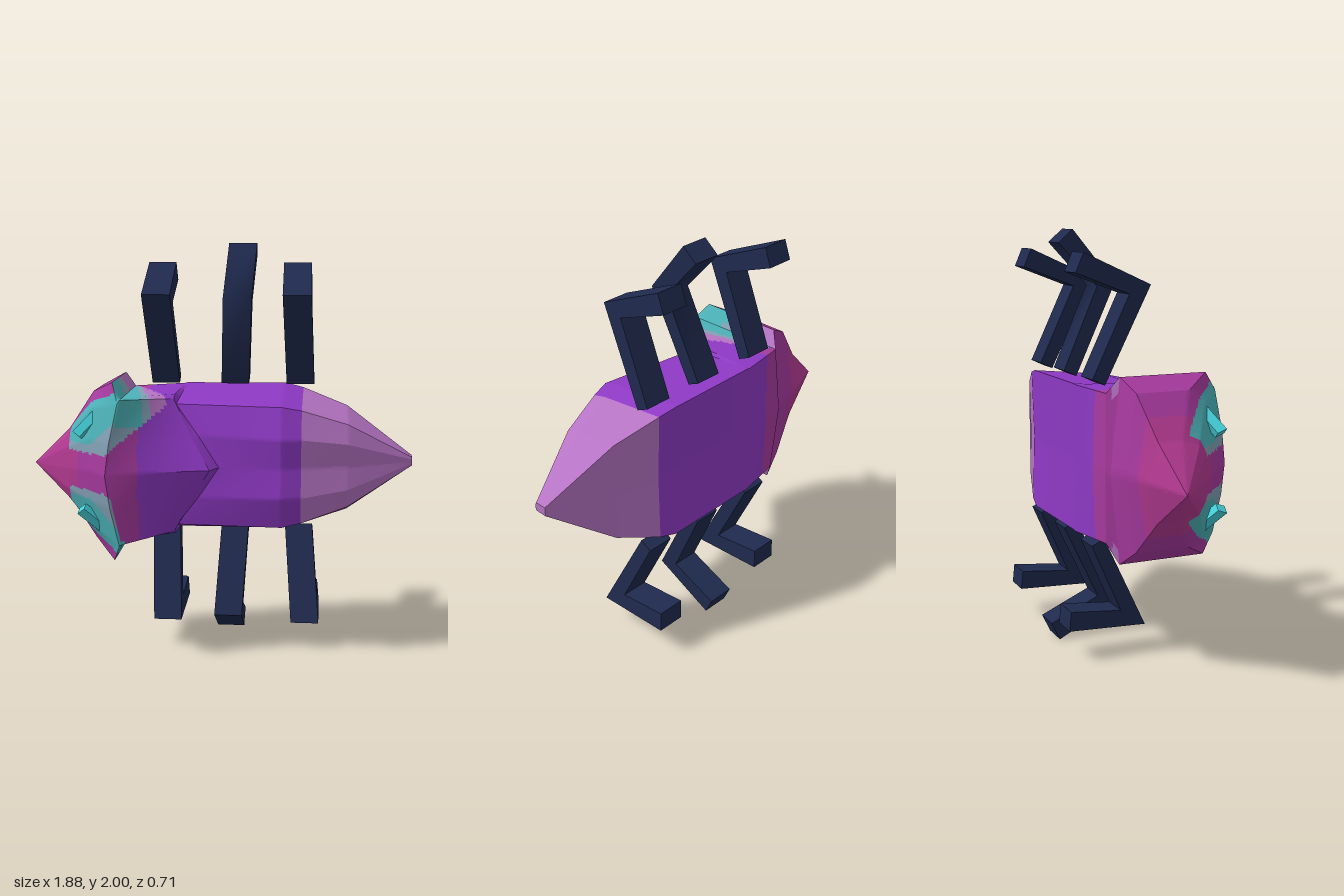
import * as THREE from 'three';
import { toCreasedNormals } from 'three/addons/utils/BufferGeometryUtils.js';

const PALETTE = {
  magenta: 0xb43a92, plum: 0xa83aa0, purple: 0x8e39c4, mauve: 0xb674c4,
  teal: 0x4cb2b8, dustyTeal: 0x82a0b4, cyan: 0x46d4de, navy: 0x1f2a4e,
};
const names = Object.keys(PALETTE);
const mats = names.map((name) => {
  const m = new THREE.MeshStandardMaterial({ color: PALETTE[name] });
  m.name = name;
  return m;
});
const matOf = (name) => mats[names.indexOf(name)];

// Closed ring from half a section [x, dy, z], back centre to belly centre, mirrored about y = c
function ring(c, half) {
  const pts = half.map(([x, dy, z]) => new THREE.Vector3(x, c + dy, z));
  for (let i = half.length - 2; i > 0; i--) {
    const [x, dy, z] = half[i];
    pts.push(new THREE.Vector3(x, c - dy, z));
  }
  return pts;
}
const flatRing = (c, x, half) => ring(c, half.map(([dy, z]) => [x, dy, z]));
const pointRing = (x, y, z) => flatRing(y, x, Array(6).fill([0, z]));

// Skin between rings, finely divided so that a rule can colour each small face
function skin(name, rings, colourAt) {
  const U = 30, V = 12, buckets = names.map(() => []);
  const n = rings[0].length;
  for (let i = 0; i < rings.length - 1; i++) for (let j = 0; j < n; j++) {
    const k = (j + 1) % n;
    const at = (u, v) => rings[i][j].clone().lerp(rings[i][k], v)
      .lerp(rings[i + 1][j].clone().lerp(rings[i + 1][k], v), u);
    for (let a = 0; a < U; a++) for (let b = 0; b < V; b++) {
      const p = at(a / U, b / V), q = at((a + 1) / U, b / V);
      const r = at((a + 1) / U, (b + 1) / V), s = at(a / U, (b + 1) / V);
      const m = p.clone().add(r).multiplyScalar(0.5);
      const bucket = buckets[names.indexOf(colourAt(m, i))];
      for (const t of [[p, q, r], [p, r, s]]) {
        const area = t[1].clone().sub(t[0]).cross(t[2].clone().sub(t[0])).length();
        if (area > 1e-9) t.forEach((w) => bucket.push(w.x, w.y, w.z));
      }
    }
  }
  const geo = new THREE.BufferGeometry();
  geo.setAttribute('position', new THREE.Float32BufferAttribute(buckets.flat(), 3));
  let start = 0;
  buckets.forEach((b, i) => {
    if (b.length) geo.addGroup(start, b.length / 3, i);
    start += b.length / 3;
  });
  const mesh = new THREE.Mesh(toCreasedNormals(geo, 0.45), mats);
  mesh.name = name;
  return mesh;
}

// Bent leg: mitred outline in the z-y plane, widening to the foot, extruded across x and leaned sideways
function leg(name, path, xHip, xFoot) {
  const [hip, knee, foot] = [0.034, 0.039, 0.048], w = 0.138;
  const [a, b, c] = path.map(([z, y]) => new THREE.Vector2(-z, y));
  const normal = (p, q) => {
    const d = q.clone().sub(p).normalize();
    return new THREE.Vector2(-d.y, d.x);
  };
  const n1 = normal(a, b), n2 = normal(b, c);
  const mitre = n1.clone().add(n2).divideScalar(1 + n1.dot(n2));
  const off = (p, n, h) => p.clone().addScaledVector(n, h);
  const shape = new THREE.Shape([
    off(a, n1, hip), off(b, mitre, knee), off(c, n2, foot),
    off(c, n2, -foot), off(b, mitre, -knee), off(a, n1, -hip),
  ]);
  const geo = new THREE.ExtrudeGeometry(shape, { depth: w, bevelEnabled: false });
  geo.translate(0, 0, -w / 2).rotateY(Math.PI / 2);
  const pos = geo.attributes.position;
  const yEnd = a.y > 1 ? Math.max(b.y, c.y) : Math.min(b.y, c.y);
  for (let i = 0; i < pos.count; i++) {
    const t = (pos.getY(i) - a.y) / (yEnd - a.y);
    pos.setX(i, pos.getX(i) + xHip + (xFoot - xHip) * t);
  }
  const mesh = new THREE.Mesh(toCreasedNormals(geo, 1.4), matOf('navy'));
  mesh.name = name;
  return mesh;
}

export function createModel() {
  const model = new THREE.Group();
  model.name = 'insect';

  // Wedge head, widening to a flared rim that steps in to the thorax
  const neck = ring(0.94, [[-0.5, 0, 0.352], [-0.48, 0.15, 0.345], [-0.44, 0.345, 0.328],
    [-0.44, 0.345, 0.25], [-0.45, 0.345, -0.22], [-0.48, 0, -0.235]]);
  const headRings = [
    pointRing(-0.94, 0.91, -0.06),
    flatRing(0.925, -0.74, [[0, 0.14], [0.1, 0.13], [0.15, 0.1], [0.18, 0.02], [0.18, -0.1], [0, -0.14]]),
    flatRing(0.94, -0.6, [[0, 0.27], [0.15, 0.25], [0.29, 0.2], [0.36, 0.12], [0.36, -0.14], [0, -0.19]]),
    ring(0.93, [[-0.51, 0, 0.355], [-0.49, 0.15, 0.35], [-0.45, 0.34, 0.33],
      [-0.485, 0.43, 0.26], [-0.49, 0.43, -0.17], [-0.5, 0, -0.22]]),
    neck,
  ];
  model.add(skin('head', headRings, ({ x, y, z }, i) => {
    const a = Math.abs(y - 0.93);
    if (i === 3 && a > 0.34) return z > 0.12 ? 'teal' : z > 0 ? 'dustyTeal' : z > -0.2 ? 'mauve' : 'plum';
    // Eye patches on the back of the head, teal with a pale margin
    const onBack = z > 0.355 + (x + 0.51) * 0.94 - 0.1;
    if (onBack && x > -0.72 && !(a > 0.36 && x < -0.52)) {
      if (a > 0.13 + Math.max(0, x + 0.6) * 0.9) return 'teal';
      if (a > 0.09 + Math.max(0, x + 0.52) * 0.6) return 'dustyTeal';
    }
    return x < -0.67 ? 'magenta' : 'plum';
  }));

  // Thorax with a pointed shield over the front of the abdomen
  const shieldEdge = ring(0.945, [[-0.03, 0, 0.25], [-0.12, 0.15, 0.2], [-0.21, 0.325, 0.14],
    [-0.21, 0.342, 0.1], [-0.2, 0.35, -0.27], [-0.2, 0, -0.265]]);
  model.add(skin('thorax', [neck, shieldEdge], ({ x, y, z }) => {
    const dy = y - 0.94;
    const onFlank = Math.abs(dy) > 0.335;
    if ((onFlank || dy > 0.12 + (x + 0.47) * 0.8) && z > -0.2) {
      if ((onFlank || dy > 0.22) && x < -0.4 + 0.2 * z) return 'teal';
      if (x < -0.37 + 0.25 * z) return 'dustyTeal';
      if (x < -0.33 + 0.5 * z) return 'mauve';
    }
    return x < -0.365 ? 'plum' : 'purple';
  }));

  // Abdomen with two soft ridges, tapering to the tail
  model.add(skin('abdomen', [
    shieldEdge,
    ring(0.948, [[0.01, 0, 0.19], [-0.09, 0.15, 0.175], [-0.2, 0.295, 0.13],
      [-0.19, 0.32, 0.06], [-0.19, 0.35, -0.27], [-0.19, 0, -0.265]]),
    flatRing(0.95, 0.31, [[0, 0.225], [0.14, 0.24], [0.29, 0.188], [0.31, 0.1], [0.35, -0.28], [0, -0.268]]),
    flatRing(0.95, 0.4, [[0, 0.2], [0.14, 0.215], [0.272, 0.165], [0.29, 0.09], [0.33, -0.265], [0, -0.255]]),
    flatRing(0.95, 0.62, [[0, 0.13], [0.11, 0.145], [0.2, 0.105], [0.22, 0.05], [0.25, -0.2], [0, -0.195]]),
    flatRing(0.952, 0.935, [[0, -0.025], [0.01, -0.025], [0.02, -0.03], [0.022, -0.04], [0.022, -0.09], [0, -0.09]]),
    pointRing(0.935, 0.952, -0.06),
  ], ({ x }) => (x > 0.4 ? 'mauve' : 'purple')));

  // Slanted eye bars
  for (const [side, shift] of [[1, 0], [-1, 0.02]]) {
    const a = new THREE.Vector3(-0.665 + shift, 0.93 + side * 0.155, 0.175 + shift);
    const b = new THREE.Vector3(-0.54 + shift, 0.93 + side * 0.315, 0.255 + shift);
    const dir = b.clone().sub(a);
    const out = new THREE.Vector3(-0.6, side * 0.3, 0.75);
    const across = dir.clone().cross(out).normalize();
    const up = across.clone().cross(dir).normalize();
    const eye = new THREE.Mesh(new THREE.BoxGeometry(dir.length(), 0.052, 0.05), matOf('cyan'));
    eye.quaternion.setFromRotationMatrix(
      new THREE.Matrix4().makeBasis(dir.clone().normalize(), across.negate(), up.negate()));
    eye.position.copy(a).add(b).multiplyScalar(0.5);
    eye.name = side > 0 ? 'upperEye' : 'lowerEye';
    model.add(eye);
  }

  // Three legs along each flank; the middle pair reaches further
  const upper = [[-0.215, 1.32], [-0.02, 1.735]], lower = [[-0.22, 0.575], [-0.03, 0.178]];
  const legs = [
    ['frontLeg', -0.29, -0.315, -0.265], ['middleLeg', 0.06, 0.095, 0.035], ['rearLeg', 0.385, 0.365, 0.42],
  ];
  for (const [name, xHip, xUp, xLow] of legs) {
    const mid = name === 'middleLeg';
    model.add(leg(name + 'Upper', [...upper, mid ? [-0.22, 1.967] : [-0.315, 1.858]], xHip, xUp));
    model.add(leg(name + 'Lower', [...lower, mid ? [-0.31, 0.045] : [-0.35, 0.2]], xHip, xLow));
  }
  return model;
}
